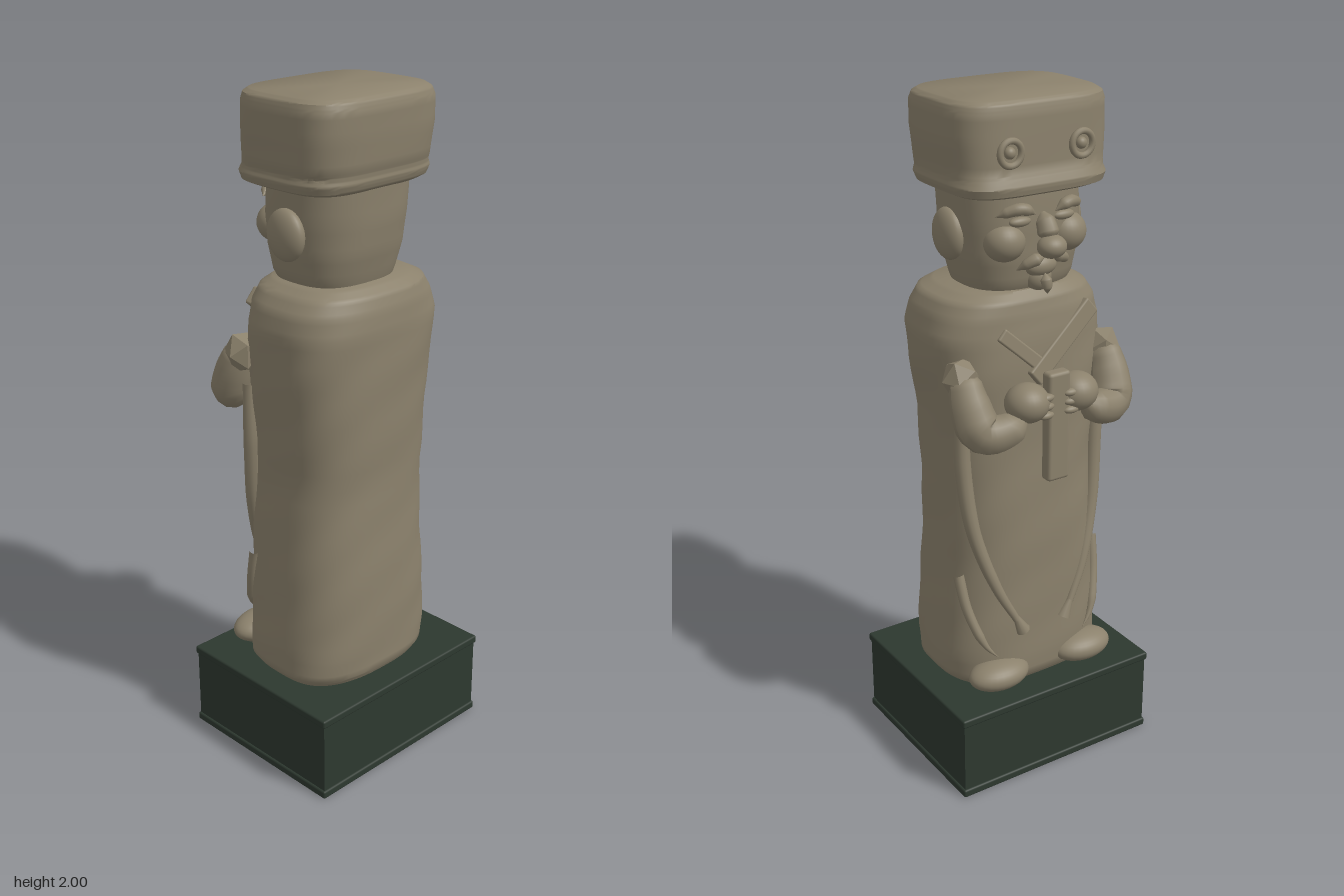
import * as THREE from 'three';
import { toCreasedNormals } from 'three/addons/utils/BufferGeometryUtils.js';
import { RoundedBoxGeometry } from 'three/addons/geometries/RoundedBoxGeometry.js';

const V = (x, y, z) => new THREE.Vector3(x, y, z);

// Loft through rounded-rectangle sections: [y, xMin, xMax, zMin, zMax], closed at both ends
function loft(rows, power, lump, sides = 56, steps = 4) {
  const rings = [];
  const collapse = r => [r[0], (r[1] + r[2]) / 2, (r[1] + r[2]) / 2, (r[3] + r[4]) / 2, (r[3] + r[4]) / 2];
  rings.push(collapse(rows[0]));
  rows.forEach((r, i) => {
    const next = rows[i + 1];
    if (!next) return rings.push(r);
    for (let s = 0; s < steps; s++) rings.push(r.map((v, k) => v + (next[k] - v) * s / steps));
  });
  rings.push(collapse(rows[rows.length - 1]));
  const pos = [], idx = [];
  const bend = v => Math.sign(v) * Math.pow(Math.abs(v), 2 / power);
  for (const [y, x0, x1, z0, z1] of rings) {
    for (let i = 0; i < sides; i++) {
      const a = i / sides * Math.PI * 2;
      const w = 1 + lump * Math.sin(3 * a + y * 9) * Math.sin(y * 23 + a * 2);
      pos.push((x0 + x1) / 2 + (x1 - x0) / 2 * bend(Math.cos(a)) * w, y,
        (z0 + z1) / 2 + (z1 - z0) / 2 * bend(Math.sin(a)) * w);
    }
  }
  for (let j = 0; j < rings.length - 1; j++) {
    for (let i = 0; i < sides; i++) {
      const a = j * sides + i, b = j * sides + (i + 1) % sides;
      idx.push(a, a + sides, b, b, a + sides, b + sides);
    }
  }
  const g = new THREE.BufferGeometry();
  g.setAttribute('position', new THREE.Float32BufferAttribute(pos, 3));
  g.setIndex(idx);
  return toCreasedNormals(g, 0.7);
}

// Tube whose radius follows a list of values spread along the path
function taper(points, radii, segments = 24, sides = 12) {
  const curve = new THREE.CatmullRomCurve3(points);
  const g = new THREE.TubeGeometry(curve, segments, 1, sides);
  const p = g.attributes.position, v = new THREE.Vector3();
  for (let j = 0; j <= segments; j++) {
    const c = curve.getPointAt(j / segments);
    const t = j / segments * (radii.length - 1), k = Math.min(Math.floor(t), radii.length - 2);
    const r = radii[k] + (radii[k + 1] - radii[k]) * (t - k);
    for (let i = 0; i <= sides; i++) {
      const n = j * (sides + 1) + i;
      v.fromBufferAttribute(p, n).sub(c).multiplyScalar(r).add(c);
      p.setXYZ(n, v.x, v.y, v.z);
    }
  }
  g.computeVertexNormals();
  return g;
}

export function createModel() {
  const model = new THREE.Group();
  model.name = 'statue';
  const stone = new THREE.MeshStandardMaterial({ color: 0x8b816c });
  stone.name = 'warm stone';
  const green = new THREE.MeshStandardMaterial({ color: 0x2d382f });
  green.name = 'dark green';

  const add = (name, geo, at = [0, 0, 0], mat = stone) => {
    const m = new THREE.Mesh(geo, mat);
    m.name = name;
    m.position.set(...at);
    model.add(m);
    return m;
  };
  const ball = (name, at, r) => {
    const m = add(name, new THREE.SphereGeometry(1, 28, 18), at);
    m.scale.set(...r);
    return m;
  };
  // Flat bar laid between two points
  const bar = (name, a, b, w, d) => {
    const m = add(name, new RoundedBoxGeometry(w, a.distanceTo(b), d, 2, 0.006));
    m.position.copy(a).add(b).multiplyScalar(0.5);
    m.quaternion.setFromUnitVectors(V(0, 1, 0), a.clone().sub(b).normalize());
    return m;
  };

  // Plinth with thin lips at the top and bottom
  add('plinth', new THREE.BoxGeometry(0.66, 0.25, 0.565), [0, 0.135, 0.003], green);
  for (const [name, y] of [['plinthFoot', 0.0125], ['plinthTop', 0.2575]])
    add(name, new RoundedBoxGeometry(0.672, 0.025, 0.577, 2, 0.006), [0, y, 0.003], green);

  // Robe
  add('robe', loft([
    [0.268, -0.25, 0.245, -0.185, 0.205], [0.29, -0.265, 0.26, -0.198, 0.218],
    [0.36, -0.268, 0.264, -0.2, 0.22], [0.5, -0.26, 0.255, -0.2, 0.218],
    [0.7, -0.247, 0.244, -0.198, 0.213], [0.9, -0.236, 0.24, -0.193, 0.207],
    [1.1, -0.248, 0.25, -0.19, 0.215], [1.25, -0.265, 0.27, -0.188, 0.22],
    [1.36, -0.27, 0.278, -0.182, 0.22], [1.42, -0.255, 0.262, -0.175, 0.212],
    [1.46, -0.225, 0.24, -0.165, 0.2], [1.482, -0.185, 0.195, -0.14, 0.17],
  ], 2.8, 0.012));

  // Head
  add('head', loft([
    [1.44, -0.15, 0.135, -0.11, 0.13], [1.5, -0.178, 0.155, -0.14, 0.15],
    [1.57, -0.192, 0.17, -0.152, 0.168], [1.66, -0.198, 0.178, -0.155, 0.18],
    [1.78, -0.198, 0.18, -0.15, 0.185],
  ], 2.7, 0.006));

  // Hat with a rolled lower edge
  add('hat', loft([
    [1.748, -0.225, 0.2, -0.165, 0.18], [1.757, -0.245, 0.22, -0.185, 0.195],
    [1.778, -0.252, 0.227, -0.19, 0.203], [1.796, -0.246, 0.222, -0.182, 0.2],
    [1.81, -0.25, 0.222, -0.175, 0.205], [1.9, -0.256, 0.23, -0.172, 0.214],
    [1.97, -0.256, 0.228, -0.17, 0.216], [1.99, -0.25, 0.221, -0.165, 0.21],
    [2.0, -0.235, 0.207, -0.152, 0.196],
  ], 4, 0.005));

  // Face, centred slightly to one side
  const cx = -0.014;
  add('noseBridge', taper([V(cx, 1.7, -0.14), V(cx, 1.66, -0.172), V(cx, 1.61, -0.19)], [0, 0.026, 0.03, 0]));
  ball('noseTip', [cx, 1.61, -0.197], [0.042, 0.032, 0.038]);
  ball('mouth', [cx, 1.545, -0.143], [0.05, 0.03, 0.03]);
  ball('chin', [cx, 1.51, -0.13], [0.04, 0.04, 0.035]);
  add('beard', taper([V(cx, 1.53, -0.165), V(cx, 1.5, -0.175), V(cx - 0.005, 1.47, -0.172)], [0, 0.016, 0.014, 0]));

  for (const s of [1, -1]) {
    const side = s > 0 ? 'left' : 'right';
    const f = (x, y, z) => V(cx + s * x, y, z);
    const p = (x, y, z) => V(s * x, y, z);

    // Ears, cheeks, eyes, brows, moustache
    ball(side + 'Ear', [cx + s * 0.192, 1.625, 0.018], [0.035, 0.073, 0.066]);
    ball(side + 'Cheek', [cx + s * 0.1, 1.62, -0.115], [0.06, 0.056, 0.058]);
    ball(side + 'Eye', [cx + s * 0.07, 1.677, -0.148], [0.034, 0.014, 0.016]);
    add(side + 'Brow', taper([f(0.03, 1.695, -0.165), f(0.075, 1.715, -0.165), f(0.14, 1.695, -0.13)],
      [0, 0.016, 0.017, 0.014, 0]));
    add(side + 'Moustache', taper([f(0.005, 1.582, -0.178), f(0.045, 1.572, -0.175), f(0.085, 1.545, -0.15)],
      [0, 0.018, 0.014, 0]));

    // Hat button: ring and centre
    add(side + 'HatRing', new THREE.TorusGeometry(0.033, 0.009, 10, 28), [cx + s * 0.113 + 0.006, 1.87, -0.178]);
    ball(side + 'HatButton', [cx + s * 0.113 + 0.006, 1.87, -0.173], [0.016, 0.016, 0.014]);

    // Sleeve, cuff fold, hand and fingers
    const fold = add(side + 'SleeveFold', new THREE.IcosahedronGeometry(1, 0), [s * 0.238, 1.262, -0.135]);
    fold.scale.set(0.055, 0.066, 0.056);
    fold.rotation.y = s * 0.4;
    add(side + 'Sleeve', taper([p(0.232, 1.31, -0.13), p(0.235, 1.2, -0.175), p(0.215, 1.125, -0.21),
      p(0.15, 1.13, -0.235), p(0.085, 1.17, -0.24)], [0, 0.045, 0.056, 0.062, 0.055, 0.045, 0]));
    ball(side + 'Hand', [s * 0.082, 1.19, -0.225], [0.064, 0.056, 0.063]);
    for (let i = 0; i < 3; i++)
      ball(side + 'Finger' + (i + 1), [s * 0.042, 1.155 + i * 0.026, -0.258], [0.026, 0.012, 0.016]);

    // Hanging ribbon with a small flared tip
    add(side + 'Ribbon', taper([p(0.228, 1.17, -0.12), p(0.226, 0.98, -0.12), p(0.205, 0.78, -0.142),
      p(0.15, 0.6, -0.178), p(0.095, 0.49, -0.197)], [0.02, 0.024, 0.022, 0.018, 0.011], 36));
    const tip = add(side + 'RibbonTip', new THREE.CylinderGeometry(0.009, 0.022, 0.055, 10),
      [s * 0.085, 0.473, -0.198]);
    tip.rotation.z = -s * 0.45;

    // Hem fold and shoe
    add(side + 'HemFold', taper([p(0.238, 0.64, -0.105), p(0.226, 0.53, -0.135), p(0.19, 0.42, -0.175),
      p(0.15, 0.37, -0.19)], [0.016, 0.015, 0.014, 0]));
    ball(side + 'Shoe', [s * 0.15, 0.318, -0.185], [0.098, 0.045, 0.066]);
  }

  // Crossed collar bands
  bar('rightCollar', V(-0.175, 1.41, -0.155), V(0.04, 1.24, -0.19), 0.055, 0.035);
  bar('leftCollar', V(0.13, 1.38, -0.162), V(0.02, 1.28, -0.182), 0.04, 0.03);

  // Upright tablet held in the hands
  add('tablet', new RoundedBoxGeometry(0.072, 0.325, 0.04, 2, 0.01), [-0.003, 1.11, -0.243]);

  return model;
}
